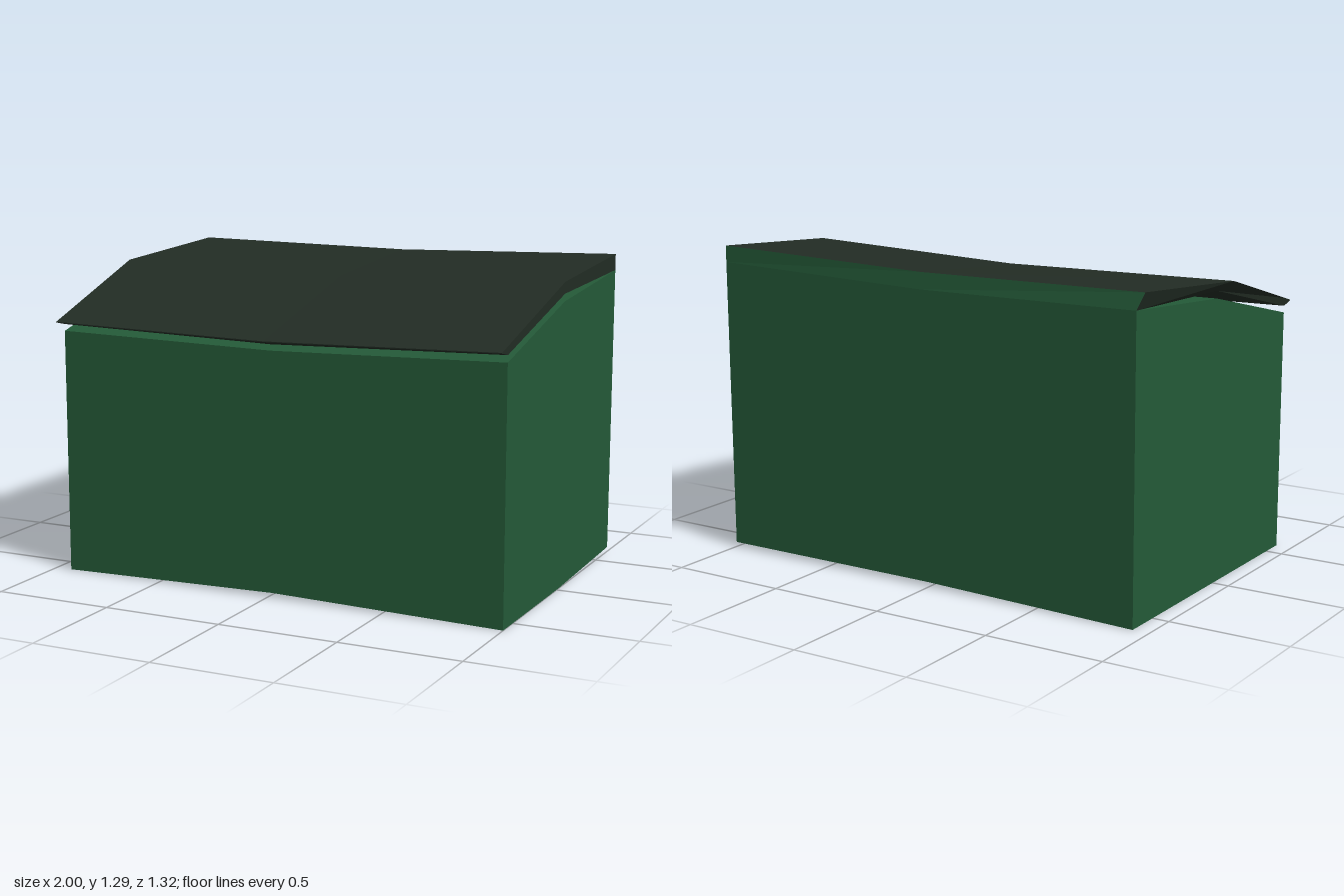
import * as THREE from 'three';

// Solid between a top and a bottom lattice of points, indexed [x station][z station, front to back].
// The back faces form material group 1, all others group 0.
function slab(name, top, bottom, materials) {
  const pos = [];
  const quad = (a, b, c, d) => pos.push(...a, ...b, ...c, ...a, ...c, ...d);
  const m = top.length - 1, n = top[0].length - 1;
  for (let i = 0; i < m; i++) {
    for (let j = 0; j < n; j++) {
      quad(top[i][j], top[i + 1][j], top[i + 1][j + 1], top[i][j + 1]);
      quad(bottom[i][j + 1], bottom[i + 1][j + 1], bottom[i + 1][j], bottom[i][j]);
    }
    quad(bottom[i][0], bottom[i + 1][0], top[i + 1][0], top[i][0]);
  }
  for (let j = 0; j < n; j++) {
    quad(bottom[m][j], bottom[m][j + 1], top[m][j + 1], top[m][j]);
    quad(bottom[0][j + 1], bottom[0][j], top[0][j], top[0][j + 1]);
  }
  const split = pos.length / 3;
  for (let i = 0; i < m; i++) quad(bottom[i + 1][n], bottom[i][n], top[i][n], top[i + 1][n]);

  const geo = new THREE.BufferGeometry();
  geo.setAttribute('position', new THREE.Float32BufferAttribute(pos, 3));
  geo.computeVertexNormals();
  geo.addGroup(0, split, 0);
  geo.addGroup(split, pos.length / 3 - split, 1);
  const mesh = new THREE.Mesh(geo, materials);
  mesh.name = name;
  return mesh;
}

// Lattice from x stations, z stations and a table of heights
const lattice = (xs, zs, ys) => xs.map((x, i) => zs.map((z, j) => [x, ys[i][j], z]));

export function createModel() {
  const green = new THREE.MeshStandardMaterial({ color: 0x245a38, flatShading: true });
  green.name = 'green paint';
  const dark = new THREE.MeshStandardMaterial({ color: 0x222c24, flatShading: true });
  dark.name = 'dark lid';

  const group = new THREE.Group();
  group.name = 'chest';
  const xs = [-0.93, 0.02, 1];

  // Box body: sagging top that rises to the back, slightly uneven base
  group.add(slab('body',
    lattice(xs, [0.6, -0.02, -0.66], [[1.01, 1.16, 1.21], [0.995, 1.145, 1.2], [1.02, 1.17, 1.225]]),
    lattice(xs, [0.6, -0.02, -0.655], [[0, 0, 0], [0.02, 0.02, 0.02], [0, 0, 0.02]]),
    [green, green]));

  // Lid: thin at the front overhang, thick at the back, resting just above the body
  const lidZ = [0.66, 0.6, -0.02, -0.66];
  const lidTop = lattice(xs, lidZ,
    [[1.055, 1.071, 1.235, 1.277], [1.04, 1.056, 1.217, 1.267], [1.065, 1.081, 1.247, 1.293]]);
  // the left rim flares outwards at mid depth
  lidTop[0][1][0] = -0.936;
  lidTop[0][2][0] = -1;
  lidTop[0][3] = [-0.957, 1.277, -0.645];
  lidTop[1][3][2] = -0.653;
  const lidBottom = lattice(xs, lidZ,
    [[1.052, 1.038, 1.19, 1.21], [1.037, 1.02, 1.17, 1.2], [1.062, 1.048, 1.2, 1.225]]);
  group.add(slab('lid', lidTop, lidBottom, [dark, green]));

  return group;
}
